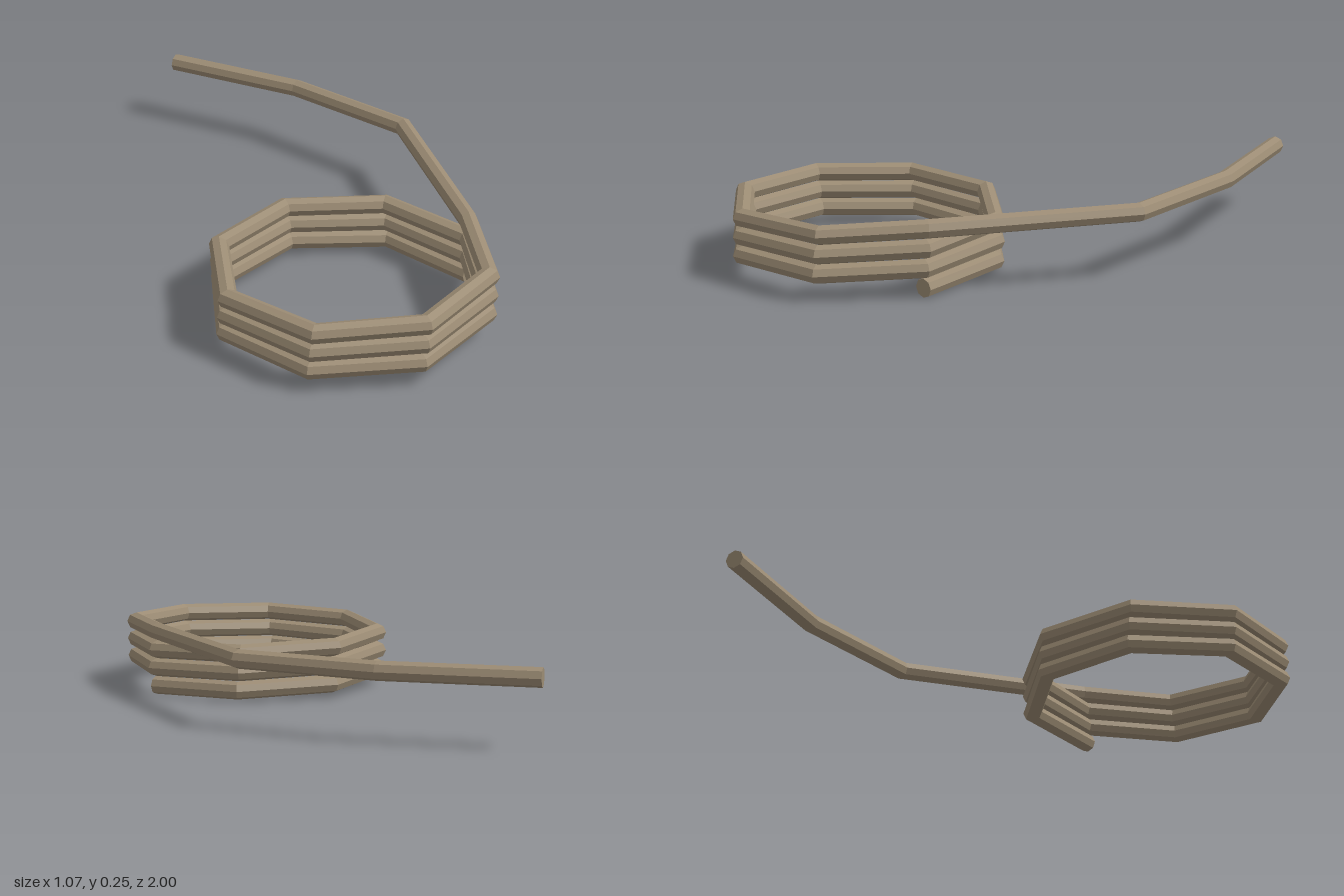
import * as THREE from 'three';

const SIDES = 8, RADIUS = 0.031;

// Centre line: three eight-cornered turns rising evenly, then a loose level tail
function ropePath() {
  const points = [], steps = 24;
  for (let i = 0; i <= steps; i++) {
    const a = THREE.MathUtils.degToRad(i * 45.1);
    points.push(new THREE.Vector3(
      -0.07 + 0.43 * Math.cos(a), RADIUS + 0.188 * i / steps, 0.54 - 0.43 * Math.sin(a)));
  }
  for (const [x, z] of [[0.5, -0.14], [0.31, -0.58], [0.01, -0.98]]) {
    points.push(new THREE.Vector3(x, 0.219, z));
  }
  return points;
}

// Octagonal sweep with mitred corners and closed ends
function sweep(path) {
  const up = new THREE.Vector3(0, 1, 0), positions = [], index = [];
  const last = path.length - 1;
  const heading = (i) => path[i + 1].clone().sub(path[i]).setY(0).normalize();
  path.forEach((p, i) => {
    const before = heading(Math.max(i - 1, 0)), after = heading(Math.min(i, last - 1));
    const along = before.clone().add(after).normalize();
    const side = along.clone().cross(up).divideScalar(along.dot(after));
    for (let j = 0; j < SIDES; j++) {
      const a = j / SIDES * Math.PI * 2;
      const v = p.clone().addScaledVector(side, RADIUS * Math.cos(a))
        .addScaledVector(up, RADIUS * Math.sin(a));
      positions.push(v.x, v.y, v.z);
    }
  });
  for (let i = 0; i < last; i++) {
    for (let j = 0; j < SIDES; j++) {
      const a = i * SIDES + j, b = i * SIDES + (j + 1) % SIDES;
      index.push(a, a + SIDES, b, b, a + SIDES, b + SIDES);
    }
  }
  // end caps as fans
  const end = last * SIDES;
  for (let j = 1; j < SIDES - 1; j++) {
    index.push(0, j, j + 1, end, end + j + 1, end + j);
  }
  const geometry = new THREE.BufferGeometry();
  geometry.setAttribute('position', new THREE.Float32BufferAttribute(positions, 3));
  geometry.setIndex(index);
  const flat = geometry.toNonIndexed();
  flat.computeVertexNormals();
  return flat;
}

export function createModel() {
  const group = new THREE.Group();
  group.name = 'coiledRope';
  const material = new THREE.MeshStandardMaterial({ color: 0x9c8c74, flatShading: true });
  const rope = new THREE.Mesh(sweep(ropePath()), material);
  rope.name = 'rope';
  group.add(rope);
  return group;
}
